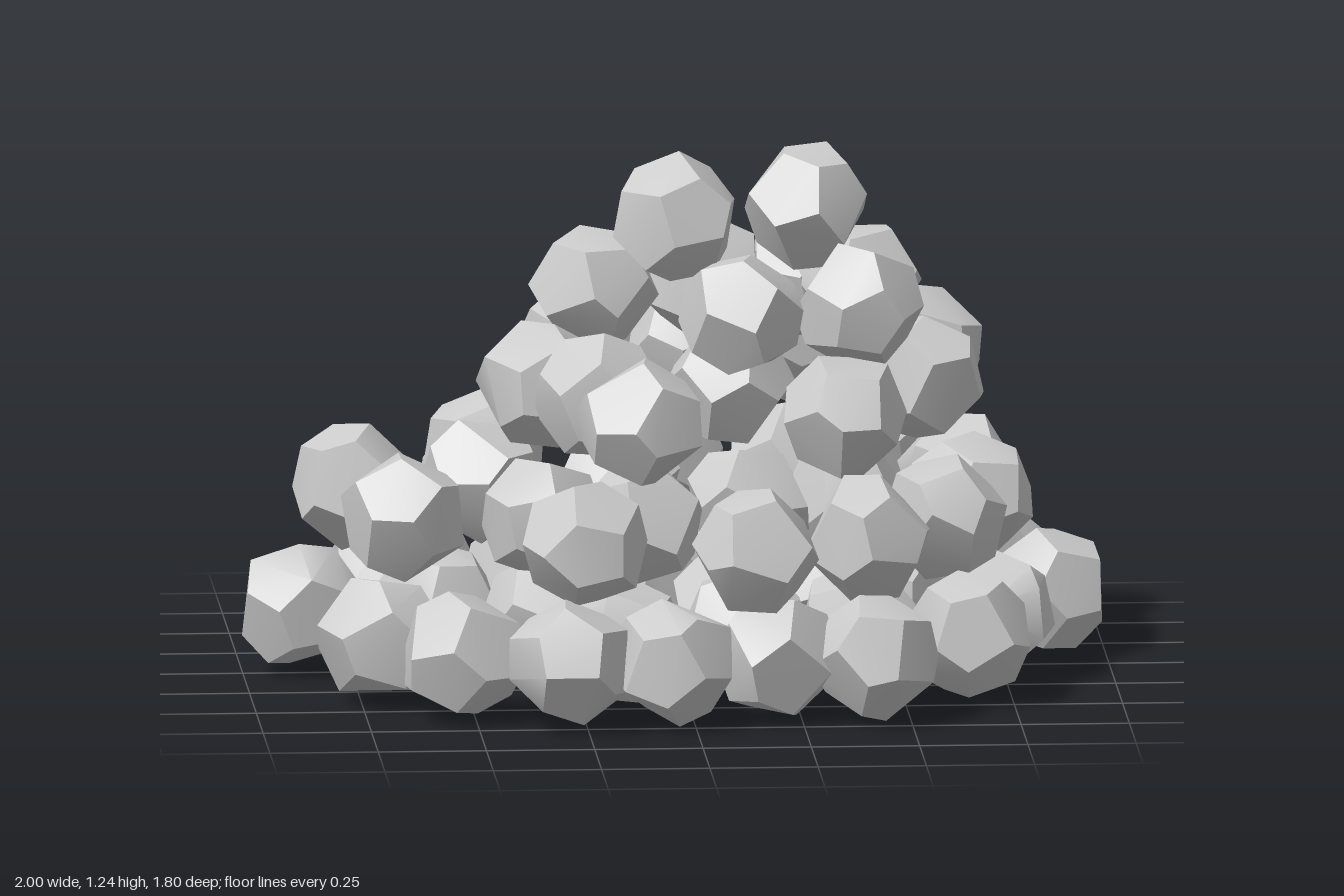
import * as THREE from 'three';
import { mergeVertices, toCreasedNormals } from 'three/addons/utils/BufferGeometryUtils.js';
import { ConvexGeometry } from 'three/addons/geometries/ConvexGeometry.js';

// Rock layers from the ground up: centre height and [x, z] of each rock
const layers = [
  { y: 0.165, rocks: [
    [0.01, -0.77], [0.32, -0.71], [0.62, -0.69], [0.75, -0.44], [0.87, -0.16], [0.73, 0.15],
    [0.65, 0.45], [0.42, 0.7], [0.19, 0.67], [-0.05, 0.72], [-0.29, 0.75], [-0.53, 0.61],
    [-0.71, 0.4], [-0.87, -0.01], [-0.65, -0.33], [-0.56, -0.62], [-0.55, -0.03],
    [-0.15, 0.45], [-0.32, 0.18], [0.4, 0.32], [0.13, 0.05], [-0.06, -0.18], [-0.33, -0.33],
    [0.35, -0.25], [0.13, 0.33], [0.08, -0.46], [0.48, 0.02]] },
  { y: 0.42, rocks: [
    [0.01, -0.62], [0.5, -0.56], [0.67, -0.22], [0.68, 0.03], [0.6, 0.31], [0.41, 0.58],
    [0.14, 0.72], [-0.25, 0.64], [-0.64, 0.21], [-0.74, -0.15], [-0.41, -0.52],
    [-0.44, -0.26], [-0.32, 0.25], [-0.12, -0.25], [0.28, -0.3], [0.15, 0.18], [0.39, 0.08],
    [-0.1, 0.38]] },
  { y: 0.685, rocks: [
    [-0.19, -0.46], [0.05, -0.39], [0.27, -0.53], [0.59, -0.34], [0.57, -0.04], [0.36, 0.45],
    [-0.11, 0.5], [-0.19, 0.19], [-0.32, 0.05], [0.12, 0.02]] },
  { y: 0.89, rocks: [
    [0.08, -0.24], [0.31, -0.24], [0.43, -0.12], [0.41, 0.18], [0.13, 0.31], [-0.18, -0.11]] },
  { y: 1.105, rocks: [[-0.01, 0.17], [0.3, 0.03]] },
];

// Small seeded generator
function makeRandom(seed) {
  return () => {
    seed = (seed * 1664525 + 1013904223) % 4294967296;
    return seed / 4294967296;
  };
}

// A rounded, convex stone: the hull of a dodecahedron's corners pushed about
function rockGeometry(random) {
  const base = new THREE.DodecahedronGeometry(0.15);
  base.deleteAttribute('uv');
  base.deleteAttribute('normal');
  const corners = mergeVertices(base, 1e-4).attributes.position;
  const jitter = () => (random() - 0.5) * 0.045;
  const points = [];
  for (let i = 0; i < corners.count; i++) {
    const point = new THREE.Vector3().fromBufferAttribute(corners, i);
    point.add(new THREE.Vector3(jitter(), jitter(), jitter()));
    points.push(point.setLength(0.145 + random() * 0.012));
  }
  const geometry = new ConvexGeometry(points);
  geometry.rotateX(random() * 6.28);
  geometry.rotateY(random() * 6.28);
  geometry.rotateZ(random() * 6.28);
  return toCreasedNormals(geometry, 0.7);
}

export function createModel() {
  const group = new THREE.Group();
  group.name = 'rockPile';
  const material = new THREE.MeshStandardMaterial({ color: 0xcccccc });
  const random = makeRandom(17);

  layers.forEach(({ y, rocks }, level) => {
    const layer = new THREE.Group();
    layer.name = `rockLayer${level + 1}`;
    rocks.forEach(([x, z], i) => {
      const rock = new THREE.Mesh(rockGeometry(random), material);
      rock.name = `rock${i + 1}`;
      rock.position.set(x, y + (random() - 0.5) * 0.015, z);
      layer.add(rock);
    });
    group.add(layer);
  });

  // Rest the lowest corner on the ground
  const box = new THREE.Box3().setFromObject(group, true);
  group.children.forEach((layer) => { layer.position.y -= box.min.y; });
  return group;
}
